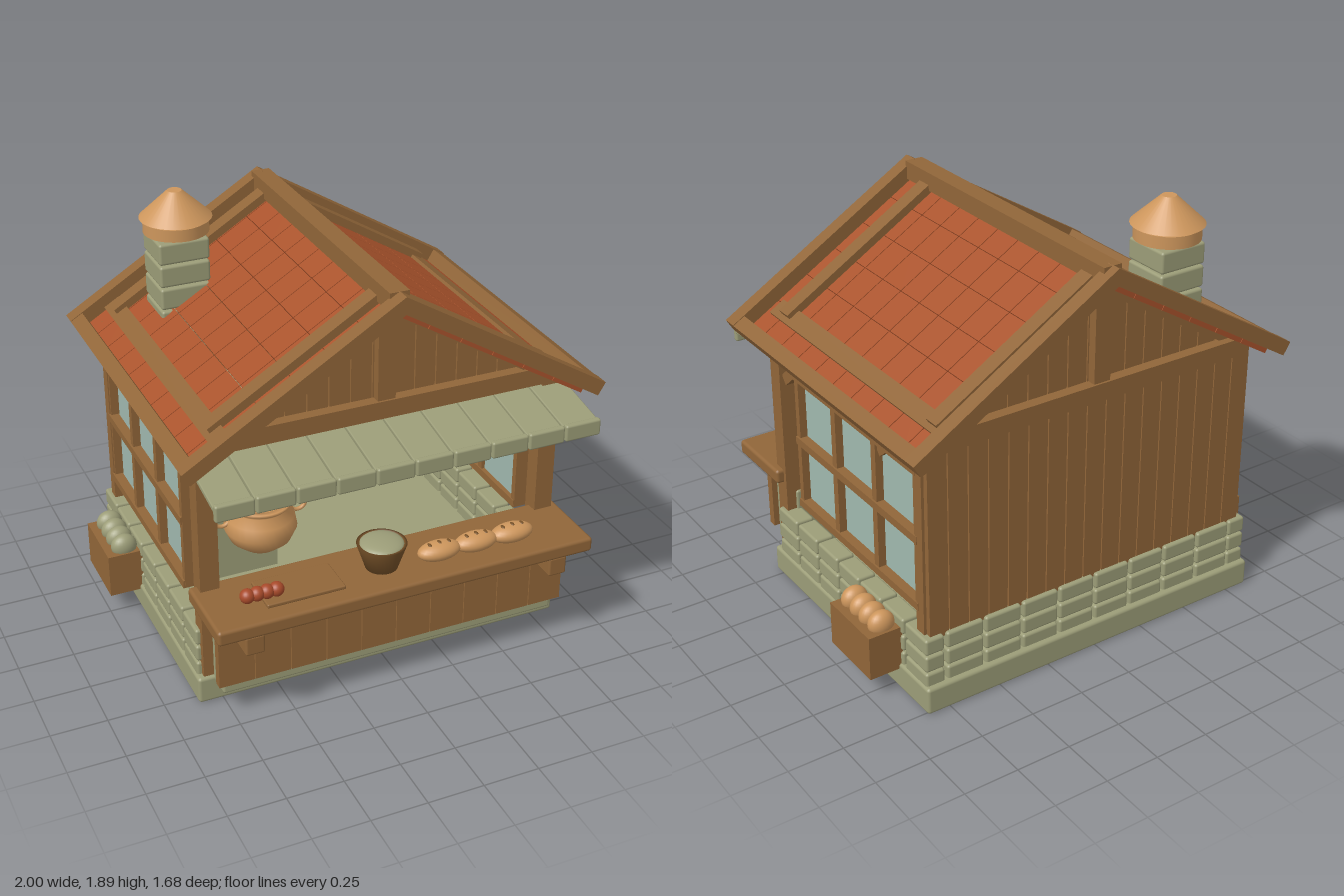
import * as THREE from 'three';
import { RoundedBoxGeometry } from 'three/addons/geometries/RoundedBoxGeometry.js';

const mat = (name, color, side = THREE.FrontSide) => {
  const m = new THREE.MeshStandardMaterial({ color, side });
  m.name = name;
  return m;
};

export function createModel() {
  const root = new THREE.Group();
  root.name = 'bakeryStall';
  const wood = mat('wood', 0x916639), darkWood = mat('dark wood', 0x775229);
  const stone = mat('stone', 0x9c9d78), tile = mat('roof tile', 0xa9532c);
  const tan = mat('tan clay', 0xcd965c), red = mat('red', 0xa84a2a);
  const glass = mat('glass', 0xa0b9af), soot = mat('soot', 0x42423b);
  const sides = [-1, 1];

  const add = (name, geo, material, x, y, z, parent = root) => {
    const m = new THREE.Mesh(geo, material);
    m.name = name;
    m.position.set(x, y, z);
    parent.add(m);
    return m;
  };
  // box given by its extents; r > 0 rounds the edges
  const span = (name, material, x0, x1, y0, y1, z0, z1, r = 0, parent = root) => {
    const w = Math.abs(x1 - x0), h = y1 - y0, d = z1 - z0;
    const geo = r ? new RoundedBoxGeometry(w, h, d, 2, r) : new THREE.BoxGeometry(w, h, d);
    return add(name, geo, material, (x0 + x1) / 2, (y0 + y1) / 2, (z0 + z1) / 2, parent);
  };
  const ball = (name, material, x, y, z, rx, ry, rz) => {
    const m = add(name, new THREE.SphereGeometry(1, 24, 16), material, x, y, z);
    m.scale.set(rx, ry, rz);
    return m;
  };
  const lathe = (name, material, pts, x, y, z) =>
    add(name, new THREE.LatheGeometry(pts.map(p => new THREE.Vector2(p[0], p[1])), 32), material, x, y, z);

  // stone base and brick courses
  span('baseSlab', stone, -0.86, 0.86, 0, 0.125, -0.77, 0.555, 0.015);
  for (let row = 0; row < 3; row++) {
    const y = 0.108 + row * 0.083;
    for (let i = 0; i < 7; i++) {
      const z = -0.745 + i * 0.182;
      for (const s of sides) span('sideBrick', stone, s * 0.76, s * 0.85, y, y + 0.075, z, z + 0.168, 0.012);
    }
    for (let i = 0; i < 8; i++) {
      const x = -0.755 + i * 0.189;
      span('backBrick', stone, x, x + 0.178, y, y + 0.075, -0.745, -0.66, 0.012);
    }
  }

  // counter
  span('counterCore', stone, -0.785, 0.785, 0.1, 0.44, 0.45, 0.655, 0.01);
  for (let i = 0; i < 10; i++) {
    const x = -0.815 + i * 0.163;
    span('counterPanel', wood, x, x + 0.159, 0.165, 0.49, 0.65, 0.69);
  }
  span('counterTop', wood, -0.865, 0.865, 0.487, 0.555, 0.48, 0.84, 0.015);
  for (const s of sides) span('counterBracket', wood, s * 0.66, s * 0.745, 0.4, 0.49, 0.68, 0.83, 0.01);

  // corner posts, top plates and braces
  for (const s of sides) {
    span('frontPost', wood, s * 0.745, s * 0.83, 0.12, 1.22, 0.46, 0.54);
    span('backPost', wood, s * 0.69, s * 0.83, 0.12, 1.22, -0.7, -0.645);
    span('topPlate', wood, s * 0.745, s * 0.82, 1.18, 1.22, -0.72, 0.54);
    for (const [y, z, l] of [[1.105, 0.345, 0.27], [1.115, -0.44, 0.24]]) {
      add('brace', new THREE.BoxGeometry(0.06, 0.05, l), wood, s * 0.785, y, z).rotation.x = 0.7;
    }
  }

  // back wall planks
  for (let i = -8; i <= 8; i++) {
    const x = i * 0.0965;
    span('wallPlank', wood, x - 0.0455, x + 0.0455, 0.33, 1.24, -0.725, -0.695);
  }

  // side windows
  for (const s of sides) {
    span('windowGlass', glass, s * 0.782, s * 0.79, 0.46, 1.1, -0.62, 0.31);
    for (const [z0, z1] of [[0.302, 0.332], [-0.018, 0.018], [-0.345, -0.31], [-0.66, -0.632]])
      span('windowUpright', wood, s * 0.765, s * 0.825, 0.45, 1.115, z0, z1);
    for (const y of [0.445, 0.762, 1.077])
      span('windowRail', wood, s * 0.76, s * 0.833, y, y + 0.036, -0.66, 0.33);
  }

  // roof slopes: local x runs down the slope, local y is normal to it
  const pitch = Math.atan(0.605);
  for (const s of sides) {
    const slope = new THREE.Group();
    slope.name = 'roofSlope';
    slope.position.y = 1.81;
    slope.rotation.z = -s * pitch;
    root.add(slope);
    const part = (name, m, x0, x1, y0, y1, z0, z1) => span(name, m, s * x0, s * x1, y0, y1, z0, z1, 0, slope);
    for (let i = 0; i < 6; i++) for (let j = 0; j < 10; j++) {
      const x = 0.02 + i * 0.172, z = -0.79 + j * 0.147;
      part('roofTile', tile, x, x + 0.169, -0.09, -0.065, z, z + 0.1425);
    }
    part('frontBarge', wood, 0, 1.105, -0.065, 0, 0.645, 0.715);
    part('backBarge', wood, 0, 1.105, -0.065, 0, -0.84, -0.77);
    part('eaveBoard', wood, 1.04, 1.105, -0.065, -0.003, -0.835, 0.7);
    part('eavePurlin', wood, 0.865, 0.947, -0.066, -0.05, -0.77, 0.605);
    for (const z of [-0.69, 0.5]) {
      part('roofRafter', wood, 0.02, 0.92, -0.066, -0.028, z - 0.037, z + 0.037);
      part('gableRafter', wood, 0.05, 0.98, -0.12, -0.091, z - 0.04, z + 0.05);
    }
  }
  span('ridgeBeam', wood, -0.043, 0.043, 1.725, 1.808, -0.8, 0.655);

  // gables: planks cut to the roof line, tie beam and king post
  const roofLine = x => 1.69 - 0.605 * Math.abs(x);
  for (const [z, out] of [[0.485, 1], [-0.715, -1]]) {
    for (let i = -6; i <= 6; i++) {
      const a = i * 0.0965 - 0.0455, b = a + 0.091;
      const shape = new THREE.Shape();
      shape.moveTo(a, 1.22);
      shape.lineTo(b, 1.22);
      shape.lineTo(b, roofLine(b));
      if (i === 0) shape.lineTo(0, roofLine(0));
      shape.lineTo(a, roofLine(a));
      add('gablePlank', new THREE.ExtrudeGeometry(shape, { depth: 0.03, bevelEnabled: false }), wood, 0, 0, z);
    }
    const c = z + 0.015 + out * 0.03;
    span('tieBeam', wood, -0.77, 0.77, 1.203, 1.283, c - 0.035, c + 0.035);
    span('kingPost', wood, -0.04, 0.04, 1.28, 1.69, c - 0.025, c + 0.025);
  }

  // front canopy of stone shingles with a hanging lip
  for (let i = 0; i < 10; i++) {
    const x = -0.86 + i * 0.172;
    const shingle = add('canopyShingle', new RoundedBoxGeometry(0.167, 0.024, 0.36, 1, 0.006), stone, x + 0.086, 1.147, 0.65);
    shingle.rotation.x = 0.175;
    span('canopyLip', stone, x + 0.0025, x + 0.1695, 1.068, 1.143, 0.808, 0.838, 0.01);
  }

  // oven with an arched mouth
  const oven = new THREE.Shape();
  oven.moveTo(-0.255, 0.12);
  oven.lineTo(0.255, 0.12);
  oven.lineTo(0.255, 0.96);
  oven.lineTo(-0.255, 0.96);
  const mouth = new THREE.Path();
  mouth.moveTo(-0.155, 0.56);
  mouth.lineTo(0.155, 0.56);
  mouth.lineTo(0.155, 0.73);
  mouth.absarc(0, 0.73, 0.155, 0, Math.PI, false);
  oven.holes.push(mouth);
  add('ovenFront', new THREE.ExtrudeGeometry(oven, { depth: 0.1, bevelEnabled: false, curveSegments: 20 }), stone, -0.475, 0, -0.225);
  span('ovenBody', stone, -0.73, -0.22, 0.12, 0.96, -0.56, -0.225);
  span('ovenMouth', soot, -0.64, -0.31, 0.55, 0.9, -0.222, -0.216);
  for (let i = 0; i < 9; i++) {
    const t = (i + 0.5) * Math.PI / 9;
    const v = add('archStone', new RoundedBoxGeometry(0.085, 0.07, 0.06, 2, 0.008), stone,
      -0.475 + 0.2 * Math.cos(t), 0.73 + 0.2 * Math.sin(t), -0.115);
    v.rotation.z = t;
  }

  // chimney
  for (let i = 0; i < 5; i++)
    span('chimneyBlock', stone, -0.63, -0.4, 1.18 + i * 0.105, 1.278 + i * 0.105, -0.62, -0.395, 0.012);
  add('chimneyCollar', new THREE.CylinderGeometry(0.145, 0.145, 0.055, 32), tan, -0.513, 1.738, -0.508);
  add('chimneyCap', new THREE.CylinderGeometry(0.032, 0.16, 0.12, 32), tan, -0.513, 1.835, -0.508);

  // shelves and jars
  for (const y of [0.7, 0.985]) {
    span('shelf', wood, -0.09, 0.685, y, y + 0.033, -0.6, -0.43);
    [red, stone, tan, red, stone, tan].forEach((m, i) => {
      const x = -0.015 + i * 0.125;
      add('jar', new THREE.CylinderGeometry(0.041, 0.041, 0.13, 20), m, x, y + 0.098, -0.5);
      add('jarLid', new THREE.CylinderGeometry(0.045, 0.045, 0.02, 20), i % 3 === 2 ? tan : darkWood, x, y + 0.172, -0.5);
    });
  }

  // cooking pot with ring handles
  lathe('pot', tan, [[0, 0], [0.08, 0.005], [0.135, 0.05], [0.16, 0.105], [0.15, 0.16], [0.12, 0.2],
    [0.135, 0.215], [0.135, 0.228], [0.11, 0.228], [0.1, 0.19], [0, 0.17]], -0.445, 0.515, 0.245);
  for (const s of sides)
    add('potHandle', new THREE.TorusGeometry(0.038, 0.009, 8, 24), tan, -0.445 + s * 0.175, 0.69, 0.245);

  // food on the counter
  span('cuttingBoard', wood, -0.62, -0.27, 0.555, 0.573, 0.57, 0.76, 0.006);
  for (let i = 0; i < 4; i++) ball('tomato', red, -0.685 + i * 0.043, 0.6, 0.7, 0.032, 0.032, 0.032);
  lathe('bowl', darkWood, [[0, 0], [0.07, 0], [0.108, 0.115], [0.095, 0.115], [0.085, 0.1], [0, 0.1]], -0.063, 0.555, 0.66);
  ball('bowlFilling', stone, -0.063, 0.665, 0.66, 0.096, 0.025, 0.096);
  for (let i = 0; i < 3; i++) {
    const x = 0.18 + i * 0.175;
    ball('loaf', tan, x, 0.6, 0.715, 0.1, 0.042, 0.055);
    for (const d of [-0.045, 0, 0.045])
      ball('loafScore', darkWood, x + d, 0.641 - d * d * 2, 0.715, 0.008, 0.004, 0.014);
  }

  // side crates: tan buns on the left, pale ones on the right
  for (const s of sides) {
    span('crate', wood, s * 0.84, s, 0.1, 0.305, -0.545, -0.225);
    for (let i = 0; i < 4; i++)
      ball('bun', s > 0 ? tan : stone, s * 0.91, 0.322, -0.275 - i * 0.072, 0.06, 0.057, 0.045);
  }
  return root;
}
